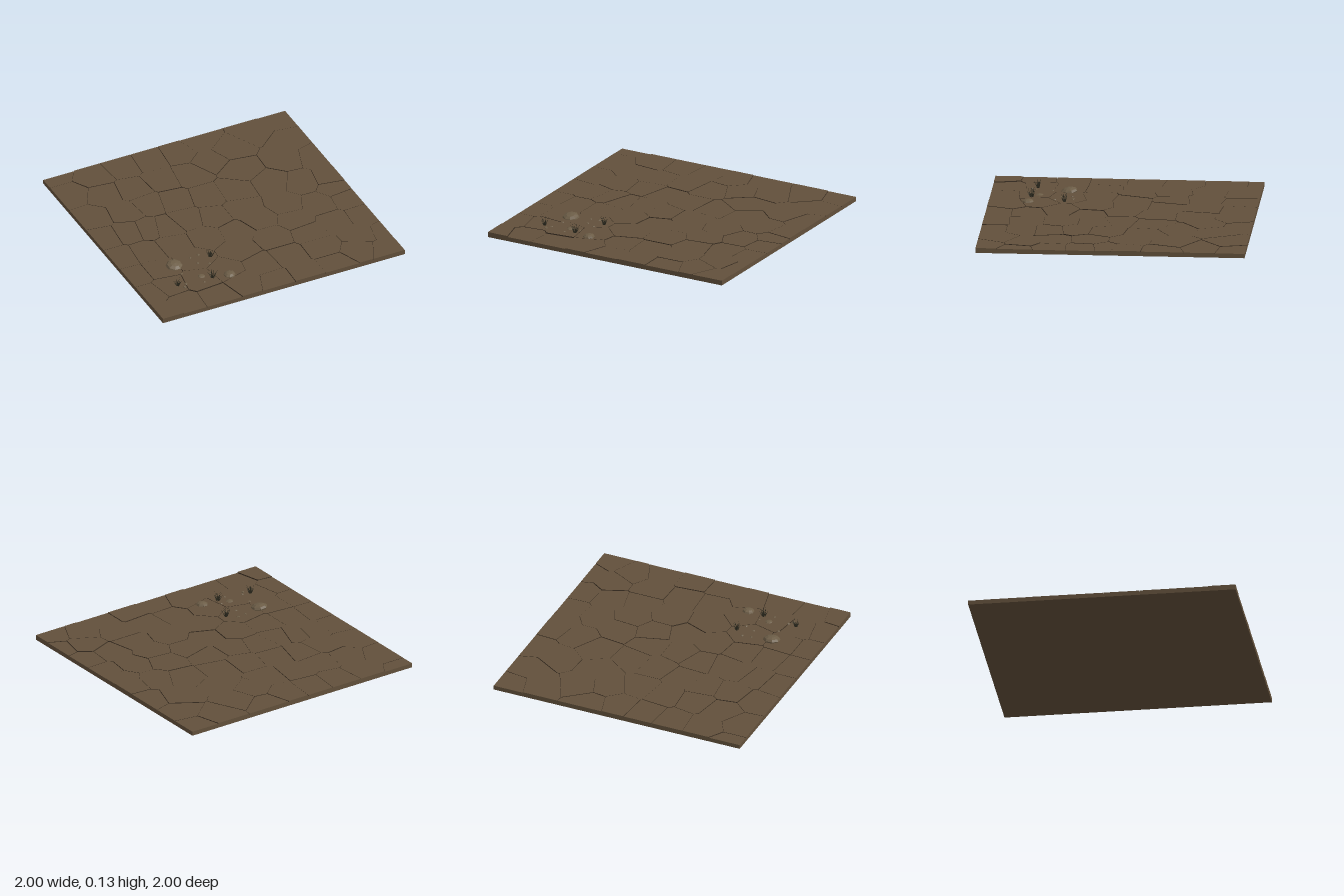
import * as THREE from 'three';

const material = (name, color, flat = false) => {
  const m = new THREE.MeshStandardMaterial({ color, flatShading: flat });
  m.name = name;
  return m;
};

// Small seeded generator
function seeded(seed) {
  return () => {
    seed = (seed * 16807) % 2147483647;
    return seed / 2147483647;
  };
}

// Centres of the dried-earth plates (x, z), row by row from the back
const PLATE_ROWS = [
  [-0.9, -1.03, -0.65, -0.88, -0.4, -0.9, -0.18, -0.88, 0.05, -0.86, 0.26, -0.92, 0.68, -0.87, 0.9, -0.93],
  [-0.9, -0.74, -0.68, -0.62, -0.46, -0.58, -0.21, -0.6, 0.0, -0.57, 0.22, -0.67, 0.41, -0.74, 0.37, -0.47, 0.73, -0.45, 0.86, -0.66],
  [-0.88, -0.4, -0.64, -0.36, -0.44, -0.38, -0.24, -0.33, 0.0, -0.27, 0.21, -0.25, 0.51, -0.22, 0.94, -0.38],
  [-0.92, -0.13, -0.73, -0.11, -0.58, -0.08, -0.46, -0.04, -0.26, -0.07, -0.08, -0.01, 0.16, -0.01, 0.7, -0.12, 0.92, -0.08],
  [-0.92, 0.15, -0.72, 0.17, -0.5, 0.17, -0.24, 0.2, -0.01, 0.23, 0.21, 0.16, 0.47, 0.08, 0.69, 0.18, 0.92, 0.21, 0.9, 0.04],
  [-0.93, 0.42, -0.74, 0.42, -0.45, 0.42, -0.1, 0.45, 0.2, 0.42, 0.45, 0.29, 0.47, 0.49, 0.7, 0.44, 0.93, 0.46],
  [-0.93, 0.66, -0.77, 0.63, -0.52, 0.67, -0.3, 0.64, -0.03, 0.69, 0.2, 0.68, 0.47, 0.69, 0.79, 0.67, 0.99, 0.71],
  [-0.96, 0.93, -0.75, 0.88, -0.5, 0.9, -0.24, 0.84, -0.02, 0.92, 0.22, 0.93, 0.47, 0.93, 0.7, 0.84, 0.89, 0.93],
];
const GAP = 0.0016;
const FLOOR = 0.028;

// Keep the part of a convex polygon nearer to p than to q, less half a crack
function clip(poly, p, q) {
  const dx = q[0] - p[0], dz = q[1] - p[1], len = Math.hypot(dx, dz);
  const dist = (v) => ((v[0] - p[0]) * dx + (v[1] - p[1]) * dz) / len - len / 2 + GAP;
  const out = [];
  poly.forEach((a, i) => {
    const b = poly[(i + 1) % poly.length];
    const da = dist(a), db = dist(b);
    if (da <= 0) out.push(a);
    if (da * db < 0) {
      const t = da / (da - db);
      out.push([a[0] + (b[0] - a[0]) * t, a[1] + (b[1] - a[1]) * t]);
    }
  });
  return out;
}

function triangles(positions) {
  const g = new THREE.BufferGeometry();
  g.setAttribute('position', new THREE.Float32BufferAttribute(positions, 3));
  g.computeVertexNormals();
  return g;
}

export function createModel() {
  const model = new THREE.Group();
  model.name = 'crackedGroundTile';
  const rand = seeded(4711);

  const earth = material('earthBrown', 0x62503b);
  const crack = material('crackDark', 0x3c3024);
  const stone = material('stoneBrown', 0x6c5d47, true);
  const grass = material('dryGrass', 0x2c2a1f);

  const add = (name, geometry, mat, parent = model) => {
    const mesh = new THREE.Mesh(geometry, mat);
    mesh.name = name;
    parent.add(mesh);
    return mesh;
  };

  // Slab and the dark bed seen in the cracks
  add('groundSlab', new THREE.BoxGeometry(2, FLOOR, 2), earth).position.y = FLOOR / 2;
  const bed = add('crackBed', new THREE.PlaneGeometry(2, 2), crack);
  bed.rotation.x = -Math.PI / 2;
  bed.position.y = FLOOR + 0.0006;

  // Earth plates of slightly different heights, with dark walls inside
  const centres = PLATE_ROWS.flatMap((row) =>
    Array.from({ length: row.length / 2 }, (_, i) => [row[2 * i], row[2 * i + 1]]));
  const earthFaces = [], wallFaces = [];
  for (const p of centres) {
    let poly = [[-1, -1], [-1, 1], [1, 1], [1, -1]];
    for (const q of centres) if (q !== p) poly = clip(poly, p, q);
    const top = 0.032 + rand() * 0.008;
    poly.forEach((a, i) => {
      const b = poly[(i + 1) % poly.length];
      earthFaces.push(p[0], top, p[1], a[0], top, a[1], b[0], top, b[1]);
      const rim = [0, 1].some((k) => Math.abs(a[k]) > 0.9999 && Math.abs(a[k] - b[k]) < 1e-6);
      (rim ? earthFaces : wallFaces).push(
        a[0], FLOOR, a[1], b[0], FLOOR, b[1], b[0], top, b[1],
        a[0], FLOOR, a[1], b[0], top, b[1], a[0], top, a[1]);
    });
  }
  // A centre outside the tile would fan past the rim, so trim it to the edge
  for (let i = 0; i < earthFaces.length; i++) {
    if (i % 3 !== 1) earthFaces[i] = THREE.MathUtils.clamp(earthFaces[i], -1, 1);
  }
  add('earthPlates', triangles(earthFaces), earth);
  add('crackWalls', triangles(wallFaces), crack);

  // Flattened eight-sided rocks and small pebbles: x, z, radius, height
  const rockShape = new THREE.SphereGeometry(1, 8, 6);
  const pebbleShape = new THREE.IcosahedronGeometry(1, 0);
  const addRock = (name, geometry, [x, z, r, h]) => {
    const rock = add(name, geometry, stone);
    rock.position.set(x, 0.036, z);
    rock.scale.set(r, h, r);
    rock.rotation.set(0.12, rand() * 6, 0.1);
  };
  [[-0.62, 0.425, 0.066, 0.032], [-0.305, 0.708, 0.047, 0.025], [-0.5, 0.635, 0.031, 0.012]]
    .forEach((r) => addRock('rock', rockShape, r));
  [[-0.47, 0.387], [-0.4, 0.38], [-0.45, 0.472], [-0.375, 0.512], [-0.62, 0.545],
    [-0.645, 0.672], [-0.672, 0.703], [-0.513, 0.71], [-0.425, 0.63]]
    .forEach(([x, z]) => addRock('pebble', pebbleShape, [x, z, 0.011 + rand() * 0.004, 0.01]));

  // Tufts of thin blades leaning outward: x, z, height
  const blade = new THREE.ConeGeometry(0.0028, 1, 3).translate(0, 0.5, 0);
  for (const [x, z, h] of [[-0.33, 0.437, 0.086], [-0.435, 0.688, 0.094], [-0.71, 0.66, 0.074]]) {
    const tuft = new THREE.Group();
    tuft.name = 'grassTuft';
    tuft.position.set(x, 0.034, z);
    for (let i = 0; i < 18; i++) {
      const b = add('grassBlade', blade, grass, tuft);
      const turn = i * 2.4, lean = 0.06 + 0.46 * rand();
      b.scale.y = h * (0.6 + 0.4 * rand());
      b.position.set(Math.sin(turn) * 0.007, 0, Math.cos(turn) * 0.007);
      b.rotation.set(lean, turn, 0, 'YXZ');
    }
    model.add(tuft);
  }
  return model;
}
